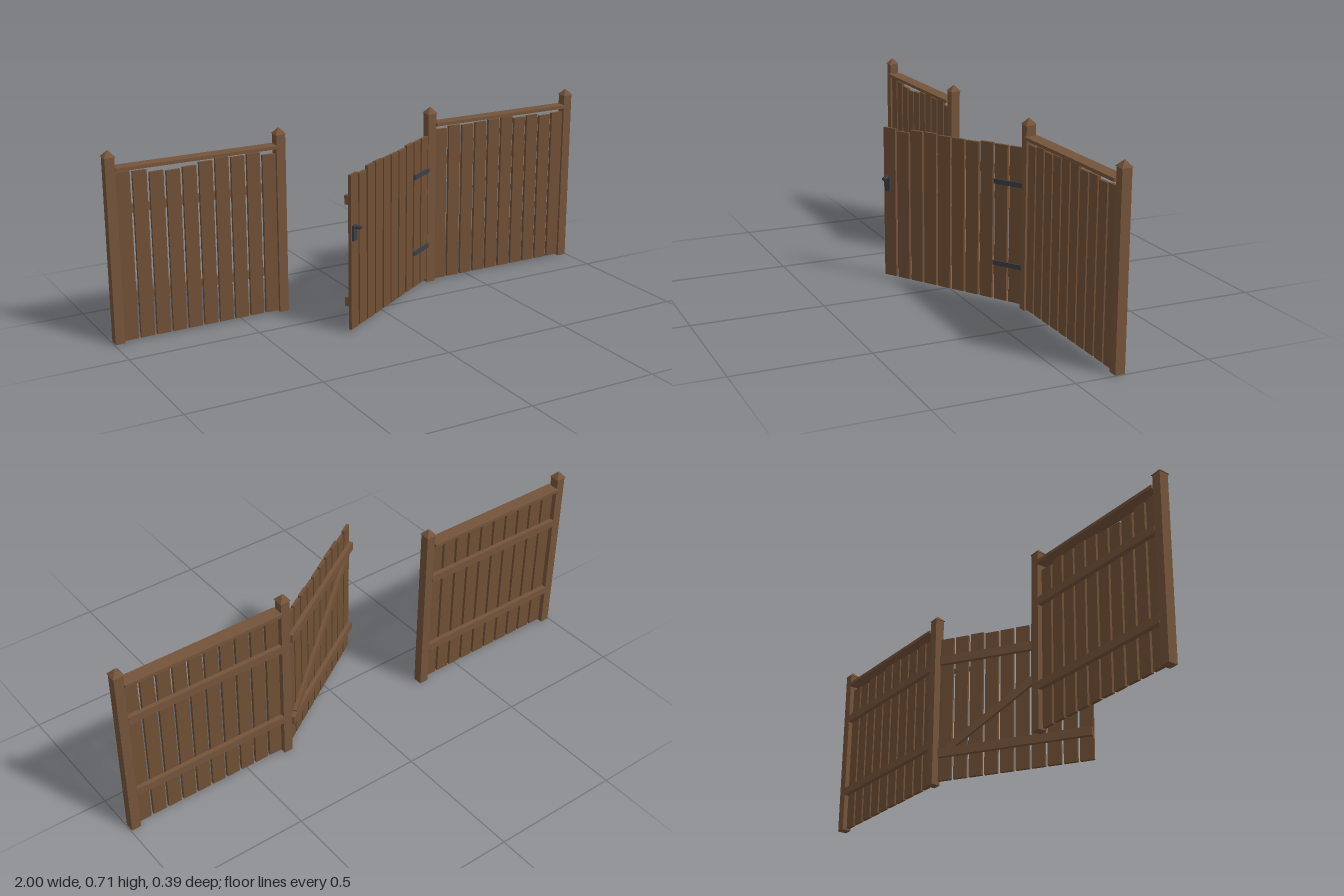
import * as THREE from 'three';

const mat = (name, color) => {
  const m = new THREE.MeshStandardMaterial({ color });
  m.name = name;
  return m;
};

export function createModel() {
  const wood = mat('brown wood', 0x6f4f35);
  const frameWood = mat('frame wood', 0x74533a);
  const iron = mat('dark iron', 0x3b3e44);

  const add = (parent, name, geo, material, x, y, z) => {
    const mesh = new THREE.Mesh(geo, material);
    mesh.name = name;
    mesh.position.set(x, y, z);
    parent.add(mesh);
    return mesh;
  };
  const box = (parent, name, m, w, h, d, x, y, z) =>
    add(parent, name, new THREE.BoxGeometry(w, h, d), m, x, y, z);

  // Row of vertical boards with uneven tops
  const boards = (parent, x0, pitch, width, bottom, tops, depth, z) =>
    tops.forEach((top, i) =>
      box(parent, 'picket', wood, width, top - bottom, depth, x0 + pitch * (i + 0.5), (top + bottom) / 2, z));

  const model = new THREE.Group();
  model.name = 'fenceWithGate';
  const Z = -0.165, OUTER = 0.978, INNER = 0.326, MID = (OUTER + INNER) / 2;

  // Square post with pyramid cap
  const post = (parent, x) => {
    box(parent, 'post', frameWood, 0.036, 0.69, 0.036, x, 0.345, Z);
    const cap = new THREE.ConeGeometry(0.0215 * Math.SQRT2, 0.024, 4).rotateY(Math.PI / 4).toNonIndexed();
    cap.computeVertexNormals();
    add(parent, 'postCap', cap, frameWood, x, 0.702, Z);
  };

  // Fixed panels on both sides of the opening
  const panel = (name, side, tops) => {
    const g = new THREE.Group();
    g.name = name;
    post(g, side * OUTER);
    post(g, side * INNER);
    const span = OUTER - INNER - 0.034;
    box(g, 'topRail', frameWood, span, 0.012, 0.053, side * MID, 0.645, Z);
    for (const y of [0.163, 0.49]) box(g, 'backRail', frameWood, span, 0.03, 0.018, side * MID, y, -0.175);
    const pitch = 0.0622;
    boards(g, side * MID - pitch * 5, pitch, 0.052, 0.006, tops, 0.012, -0.16);
    model.add(g);
  };
  panel('rightPanel', -1, [0.632, 0.628, 0.617, 0.613, 0.618, 0.627, 0.632, 0.628, 0.631, 0.619]);
  panel('leftPanel', 1, [0.622, 0.629, 0.625, 0.628, 0.631, 0.633, 0.623, 0.626, 0.618, 0.622]);

  // Open gate, pivoting at the left inner post
  const gate = new THREE.Group();
  gate.name = 'gate';
  gate.position.set(0.307, 0, Z);
  gate.rotation.y = 0.56;
  model.add(gate);
  boards(gate, -0.626, 0.0624, 0.053, 0.014,
    [0.599, 0.591, 0.603, 0.604, 0.6, 0.599, 0.598, 0.604, 0.602, 0.602], 0.012, 0.007);
  for (const y of [0.12, 0.505]) box(gate, 'gateRail', frameWood, 0.61, 0.034, 0.016, -0.315, y, -0.007);

  // Diagonal brace from the lower hinge to the upper free corner
  const dx = -0.54, dy = 0.355;
  const brace = box(gate, 'gateBrace', frameWood, Math.hypot(dx, dy), 0.03, 0.013, -0.315, 0.3125, -0.006);
  brace.rotation.z = Math.atan2(-dy, -dx);

  // Hinge straps
  for (const y of [0.155, 0.464]) box(gate, 'hingeStrap', iron, 0.13, 0.018, 0.006, -0.06, y, 0.016);

  // Latch plate and knob
  box(gate, 'latchPlate', iron, 0.025, 0.058, 0.008, -0.602, 0.382, 0.017);
  add(gate, 'latchKnob', new THREE.CylinderGeometry(0.007, 0.007, 0.036, 12).rotateX(Math.PI / 2),
    iron, -0.602, 0.405, 0.026);

  return model;
}
